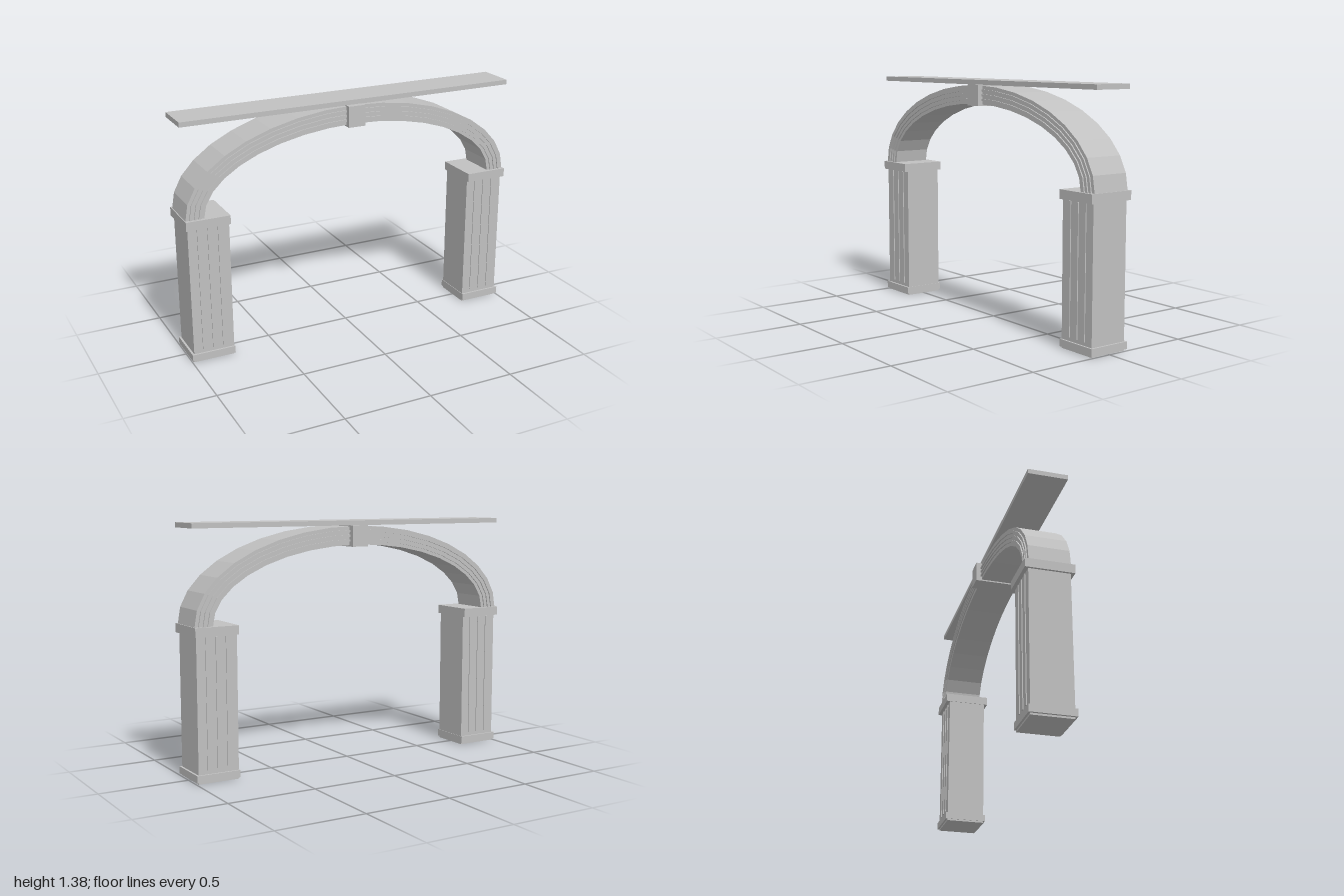
import * as THREE from 'three';

const stone = new THREE.MeshStandardMaterial({ color: 0xc0c0c0 });
stone.name = 'grey stone';

// Box given by its lower and upper limits
function block(name, [x0, x1], [y0, y1], halfDepth) {
  const geo = new THREE.BoxGeometry(x1 - x0, y1 - y0, halfDepth * 2);
  geo.translate((x0 + x1) / 2, (y0 + y1) / 2, 0);
  const mesh = new THREE.Mesh(geo, stone);
  mesh.name = name;
  return mesh;
}

// Half-elliptical band between two fractions of the arch thickness (0 inner, 1 outer)
const SPRING = 0.84, SEGMENTS = 18;
function archBand(name, inner, outer, halfDepth) {
  const edge = (t) => Array.from({ length: SEGMENTS + 1 }, (_, i) => {
    const a = (i / SEGMENTS) * Math.PI;
    return new THREE.Vector2(
      Math.cos(a) * (0.89 + 0.105 * t),
      SPRING + Math.sin(a) * (0.405 + 0.105 * t));
  });
  const shape = new THREE.Shape([...edge(outer), ...edge(inner).reverse()]);
  const geo = new THREE.ExtrudeGeometry(shape, { depth: halfDepth * 2, bevelEnabled: false });
  geo.translate(0, 0, -halfDepth);
  const mesh = new THREE.Mesh(geo, stone);
  mesh.name = name;
  return mesh;
}

function pillar(name, side) {
  const group = new THREE.Group();
  group.name = name;
  const span = (a, b) => (side > 0 ? [a, b] : [-b, -a]);
  group.add(block('shaft', span(0.753, 0.988), [0, 0.8], 0.112));
  group.add(block('base', span(0.75, 1), [0.01, 0.05], 0.123));
  group.add(block('capital', span(0.75, 1), [0.79, SPRING], 0.133));
  // Thin vertical ribs at the quarters, showing on front and back
  for (const t of [0.25, 0.5, 0.75]) {
    const x = 0.753 + 0.235 * t;
    group.add(block('shaftRib', span(x - 0.007, x + 0.007), [0.07, 0.785], 0.117));
  }
  return group;
}

export function createModel() {
  const model = new THREE.Group();
  model.name = 'archway';
  model.add(pillar('leftPillar', 1), pillar('rightPillar', -1));

  // Arch with three raised ribs following its curve
  model.add(archBand('arch', 0, 1, 0.112));
  for (const t of [0.25, 0.5, 0.75]) model.add(archBand('archRib', t - 0.06, t + 0.06, 0.119));

  model.add(block('keystone', [-0.05, 0.05], [1.235, 1.354], 0.145));
  model.add(block('topSlab', [-1, 1], [1.353, 1.38], 0.11));
  return model;
}
